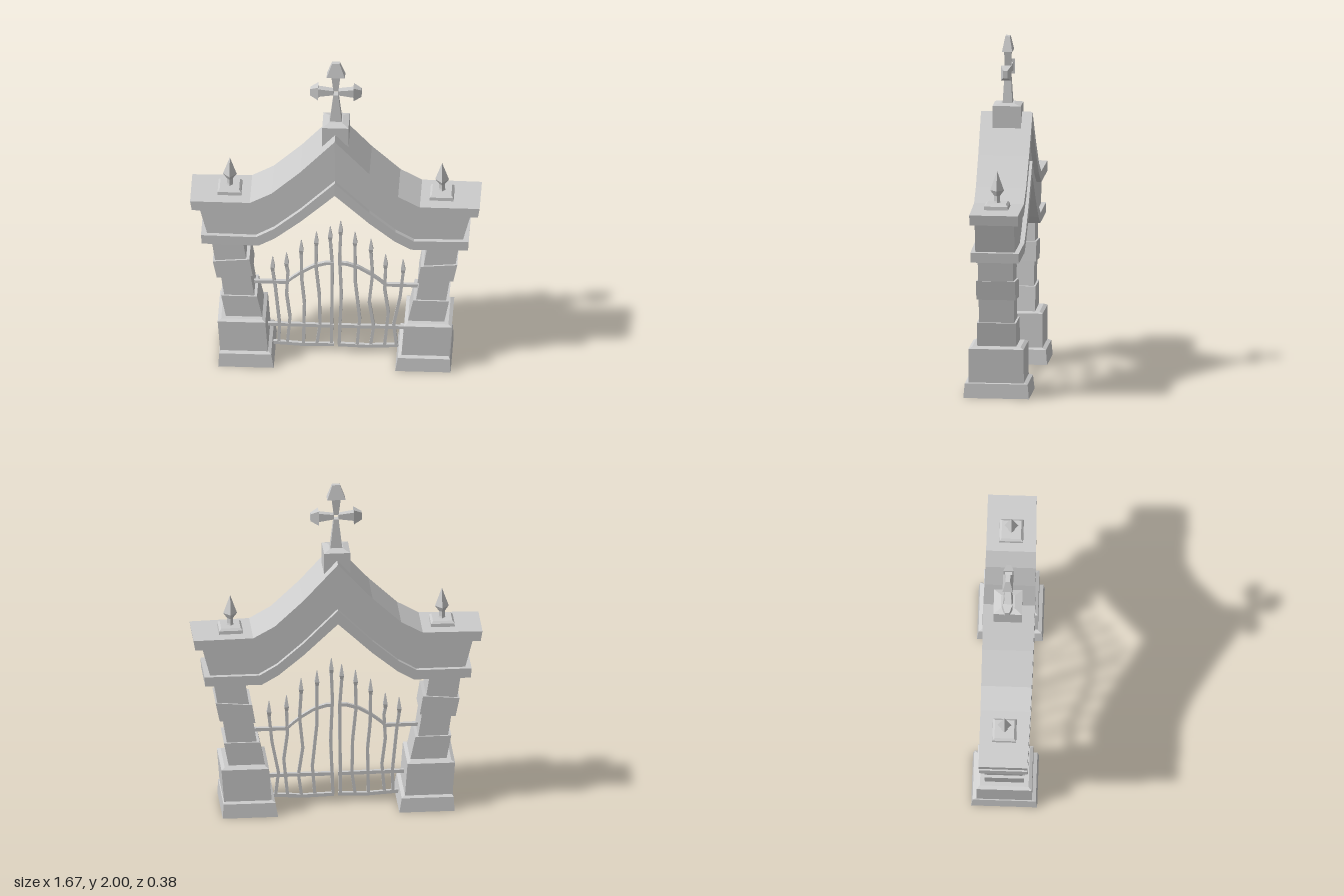
import * as THREE from 'three';

const stone = new THREE.MeshStandardMaterial({ color: 0xcccccc, flatShading: true });
const openStone = new THREE.MeshStandardMaterial({ color: 0xcccccc, flatShading: true, side: THREE.DoubleSide });

function add(parent, name, geometry, material = stone) {
  const mesh = new THREE.Mesh(geometry, material);
  mesh.name = name;
  parent.add(mesh);
  return mesh;
}

// Solid through four-cornered rings, each counter-clockwise seen from the far end
function loft(rings, capped = true) {
  const pos = [];
  const quad = (a, b, c, d) => pos.push(...a, ...b, ...c, ...a, ...c, ...d);
  for (let r = 0; r < rings.length - 1; r++) {
    for (let i = 0; i < 4; i++) {
      const j = (i + 1) % 4;
      quad(rings[r][i], rings[r][j], rings[r + 1][j], rings[r + 1][i]);
    }
  }
  const [a, b, c, d] = rings[0];
  if (capped) {
    quad(d, c, b, a);
    quad(...rings[rings.length - 1]);
  }
  const geometry = new THREE.BufferGeometry();
  geometry.setAttribute('position', new THREE.Float32BufferAttribute(pos, 3));
  geometry.computeVertexNormals();
  return geometry;
}

// Level ring from x0 to x1, optionally tilted along x
const ringY = (x0, x1, y, z, tilt = 0) => {
  const d = tilt * (x1 - x0) / 2;
  return [[x0, y - d, z], [x1, y + d, z], [x1, y + d, -z], [x0, y - d, -z]];
};
const ringX = (x, y, h) => [[x, y - h, h], [x, y - h, -h], [x, y + h, -h], [x, y + h, h]];
const taper = (rows) => loft(rows.map(([hx, hz, y]) => ringY(-hx, hx, y, hz)));

// Pillar blocks as [inner x, outer x, y, half depth] rings
const BLOCKS = [
  ['plinth', 0, [[0.35, 0.67, 0, 0.19], [0.365, 0.665, 0.085, 0.182], [0.385, 0.655, 0.095, 0.155]]],
  ['lowerBlock', 0, [[0.385, 0.66, 0.09, 0.16], [0.4, 0.675, 0.29, 0.159], [0.42, 0.655, 0.3, 0.14]]],
  ['shaftBlock', 0, [[0.42, 0.63, 0.3, 0.113], [0.45, 0.657, 0.44, 0.113]]],
  ['shaftBlock', 0, [[0.465, 0.638, 0.43, 0.102], [0.49, 0.662, 0.59, 0.102]]],
  ['tiltedBlock', 0.09, [[0.475, 0.682, 0.572, 0.113], [0.494, 0.705, 0.685, 0.113]]],
  ['shaftBlock', 0, [[0.508, 0.69, 0.66, 0.102], [0.535, 0.715, 0.83, 0.102]]],
];

function createPillar(side) {
  const pillar = new THREE.Group();
  pillar.name = side > 0 ? 'leftPillar' : 'rightPillar';
  for (const [name, tilt, rows] of BLOCKS) {
    const rings = rows.map(([a, b, y, z]) =>
      side > 0 ? ringY(a, b, y, z, tilt) : ringY(-b, -a, y, z, tilt));
    // The plinth is a hollow skirt around the foot of the lower block
    const hollow = name === 'plinth';
    add(pillar, name, loft(rings, !hollow), hollow ? openStone : stone);
  }
  return pillar;
}

// Symmetric band between an upper and a lower half-line, extruded in depth
function band(upper, lower, depth) {
  const half = [...upper, ...lower.slice().reverse()];
  const mirrored = half.slice(1, -1).reverse().map(([x, y]) => [-x, y]);
  const shape = new THREE.Shape([...half, ...mirrored].map(([x, y]) => new THREE.Vector2(x, y)));
  const geometry = new THREE.ExtrudeGeometry(shape, { depth: depth * 2, bevelEnabled: false });
  geometry.translate(0, 0, -depth);
  // The front bulges towards the middle, the back stays straight
  const p = geometry.attributes.position;
  for (let i = 0; i < p.count; i++) {
    const z = p.getZ(i);
    p.setZ(i, z * (z > 0 ? 1.04 - 0.14 * Math.abs(p.getX(i)) : 0.95));
  }
  geometry.computeVertexNormals();
  return geometry;
}

function createArch() {
  const arch = new THREE.Group();
  arch.name = 'arch';
  const top = [[0, 1.555], [0.2, 1.335], [0.365, 1.18], [0.49, 1.11]];
  const capLow = [[0, 1.475], [0.2, 1.265], [0.36, 1.12], [0.49, 1.045]];
  const trimTop = [[0, 1.265], [0.2, 1.065], [0.35, 0.935], [0.455, 0.873]];
  const trimLow = [[0, 1.18], [0.2, 0.99], [0.345, 0.87], [0.44, 0.815]];
  add(arch, 'archCap', band([...top, [0.835, 1.105]], [...capLow, [0.825, 1.045]], 0.15));
  add(arch, 'archBody', band([...capLow, [0.783, 1.045]], [...trimTop, [0.738, 0.873]], 0.121));
  add(arch, 'archLowerTrim', band([...trimTop, [0.772, 0.873]], [...trimLow, [0.768, 0.815]], 0.149));
  return arch;
}

function createFinial(side) {
  const finial = new THREE.Group();
  finial.name = side > 0 ? 'leftFinial' : 'rightFinial';
  add(finial, 'finialPlate', taper([[0.07, 0.07, 1.1], [0.068, 0.068, 1.128], [0.056, 0.056, 1.14]]));
  const profile = [[0.022, 1.135], [0.017, 1.15], [0.017, 1.18], [0.04, 1.212], [0, 1.325]];
  add(finial, 'finialSpike', new THREE.LatheGeometry(profile.map(([r, y]) => new THREE.Vector2(r, y)), 4));
  finial.position.x = side * 0.612;
  return finial;
}

function createCross() {
  const cross = new THREE.Group();
  cross.name = 'cross';
  add(cross, 'crossPedestal', taper([[0.076, 0.082, 1.47], [0.076, 0.082, 1.6], [0.04, 0.04, 1.61]]));
  add(cross, 'crossShaft', taper([[0.035, 0.028, 1.605], [0.014, 0.018, 1.787]]));
  const arm = (name, angle, length, capWidth, end) => {
    const g = new THREE.Group();
    g.name = name;
    add(g, 'arm', taper([[0.014, 0.017, 0.013], [0.026, 0.02, length]]));
    add(g, 'armCap', taper([[capWidth, 0.03, length], [0.022, 0.013, end]]));
    g.position.y = 1.8;
    g.rotation.z = angle;
    cross.add(g);
  };
  arm('crossTopArm', 0, 0.113, 0.053, 0.2);
  arm('crossRightArm', Math.PI / 2, 0.102, 0.044, 0.148);
  arm('crossLeftArm', -Math.PI / 2, 0.102, 0.044, 0.148);
  return cross;
}

// Crooked bars as [x, y] points from foot to spear tip
const BARS = [
  [[-0.33, 0.05], [-0.325, 0.18], [-0.35, 0.44], [-0.365, 0.645]],
  [[-0.28, 0.05], [-0.265, 0.23], [-0.285, 0.39], [-0.277, 0.54], [-0.285, 0.675]],
  [[-0.187, 0.05], [-0.182, 0.33], [-0.197, 0.49], [-0.2, 0.765]],
  [[-0.11, 0.05], [-0.092, 0.18], [-0.096, 0.39], [-0.115, 0.58], [-0.113, 0.825]],
  [[-0.026, 0.05], [-0.021, 0.6], [-0.033, 0.865]],
  [[0.018, 0.05], [0.031, 0.39], [0.021, 0.65], [0.027, 0.905]],
  [[0.122, 0.05], [0.137, 0.23], [0.111, 0.49], [0.11, 0.83]],
  [[0.2, 0.05], [0.217, 0.18], [0.192, 0.35], [0.211, 0.54], [0.202, 0.785]],
  [[0.28, 0.05], [0.302, 0.28], [0.281, 0.44], [0.286, 0.68]],
  [[0.35, 0.05], [0.333, 0.2], [0.37, 0.39], [0.387, 0.65]],
];

function createGate() {
  const gate = new THREE.Group();
  gate.name = 'gate';
  for (const points of BARS) {
    const [tx, ty] = points[points.length - 1];
    const shaft = [...points.slice(0, -1), [tx, ty - 0.095]];
    add(gate, 'gateBar', loft(shaft.map(([x, y]) => ringY(x - 0.009, x + 0.009, y, 0.009))));
    const tip = add(gate, 'spearTip', taper([[0.008, 0.008, -0.1], [0.013, 0.013, -0.07], [0.002, 0.002, 0]]));
    tip.position.set(tx, ty, 0);
  }
  // Rails of each leaf, from the middle outwards
  const rails = {
    bottomRail: [[0.012, 0.05], [0.18, 0.045], [0.35, 0.055], [0.54, 0.05]],
    middleRail: [[0.012, 0.178], [0.25, 0.18], [0.5, 0.18]],
    curvedRail: [[0.012, 0.612], [0.06, 0.61], [0.13, 0.588], [0.2, 0.545], [0.25, 0.505],
      [0.285, 0.473], [0.51, 0.473]],
  };
  for (const [name, points] of Object.entries(rails)) {
    for (const side of [1, -1]) {
      const path = points.map(([x, y]) => [side * x, y]);
      if (side < 0) path.reverse();
      add(gate, name, loft(path.map(([x, y]) => ringX(x, y, 0.01))));
    }
  }
  return gate;
}

export function createModel() {
  const model = new THREE.Group();
  model.name = 'archedGateway';
  for (const side of [1, -1]) model.add(createPillar(side), createFinial(side));
  model.add(createArch(), createCross(), createGate());
  return model;
}
